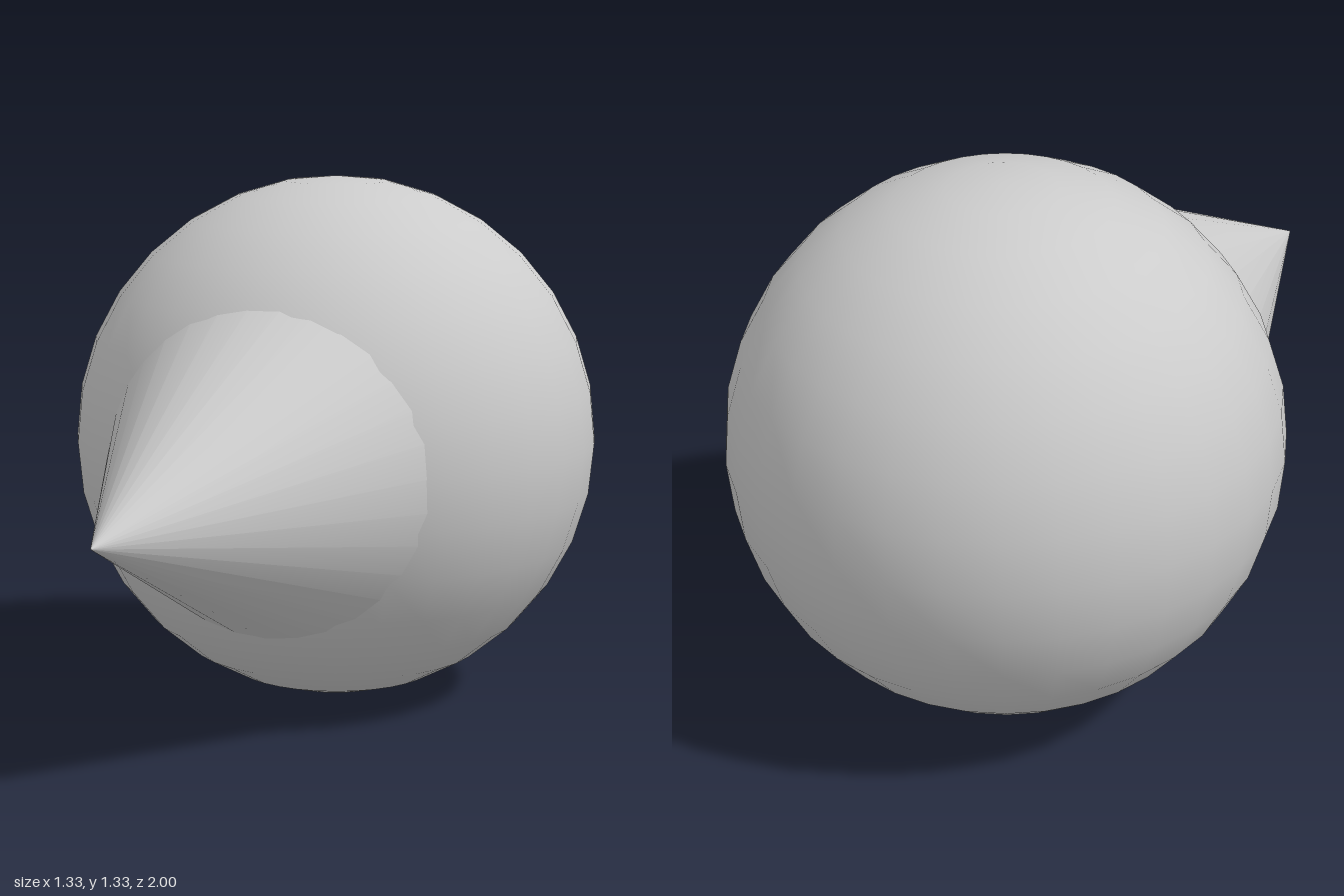
import * as THREE from 'three';

export function createModel() {
  const group = new THREE.Group();
  const material = new THREE.MeshStandardMaterial({ color: 0xcccccc });

  // Round head resting on the ground
  const radius = 0.667;
  const head = new THREE.Mesh(new THREE.SphereGeometry(radius, 32, 16), material);
  head.name = 'head';
  head.position.set(0, radius, radius - 1);
  group.add(head);

  // Pointed nose, slightly off axis, its base buried inside the head
  const tip = new THREE.Vector3(-0.02, 0.63, 1);
  const axis = new THREE.Vector3(-0.038, -0.027, 1).normalize();
  const height = 1.1;
  const nose = new THREE.Mesh(new THREE.ConeGeometry(height / 2, height, 32), material);
  nose.name = 'nose';
  nose.quaternion.setFromUnitVectors(new THREE.Vector3(0, 1, 0), axis);
  nose.position.copy(tip).addScaledVector(axis, -height / 2);
  group.add(nose);

  return group;
}
